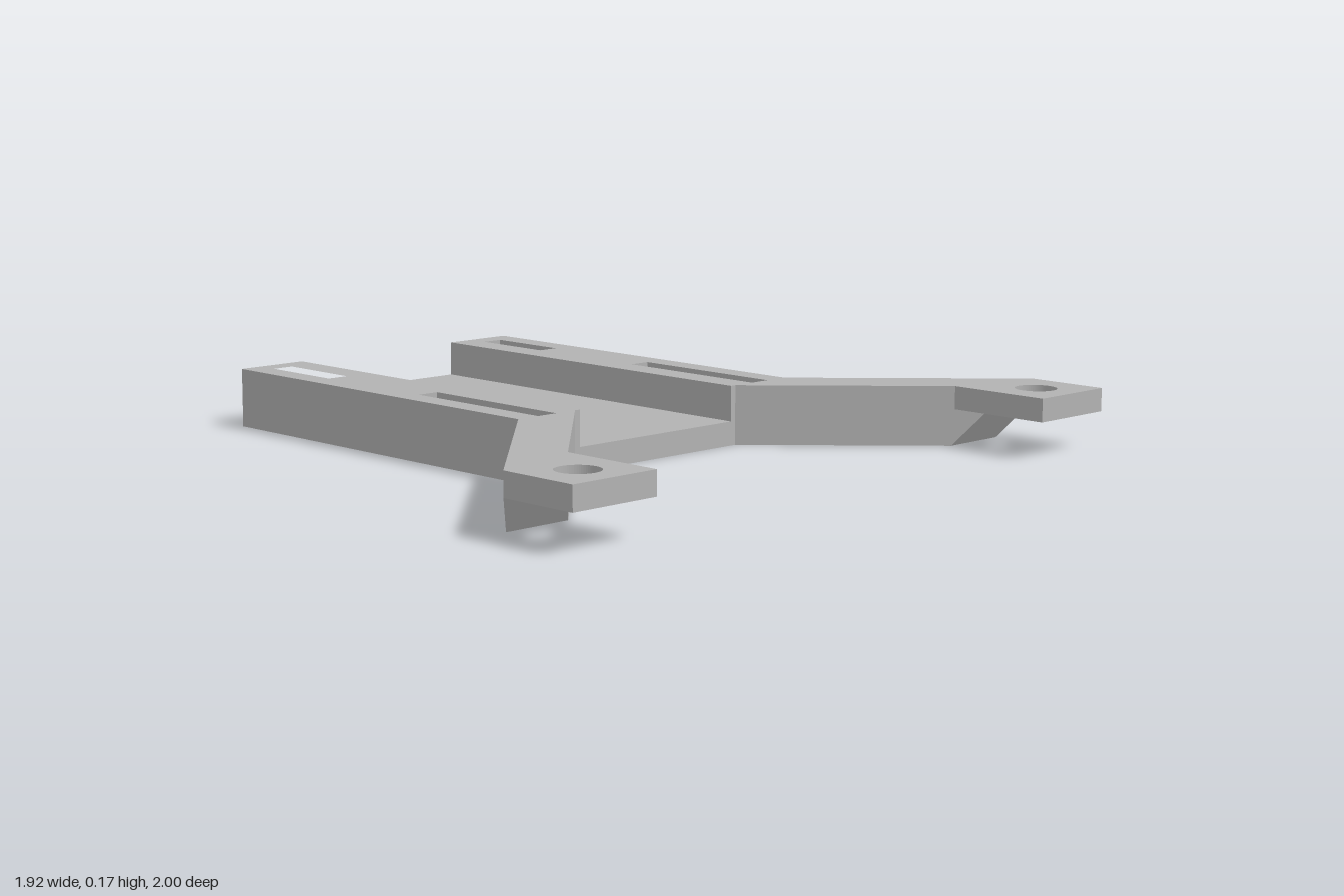
import * as THREE from 'three';

const H = 0.168;      // overall height
const TAB_Y = 0.103;  // underside of the mounting tabs
const X0 = -0.962, X1 = 0.23, X2 = 0.728, X3 = 0.962;

// Horizontal slab from an [x, z] outline, between heights y0 and y1
function slab(points, y0, y1, holes = []) {
  const shape = new THREE.Shape(points.map(([x, z]) => new THREE.Vector2(x, -z)));
  shape.holes.push(...holes);
  const geo = new THREE.ExtrudeGeometry(shape, { depth: y1 - y0, bevelEnabled: false, curveSegments: 32 });
  return geo.rotateX(-Math.PI / 2).translate(0, y0, 0);
}

export function createModel() {
  const group = new THREE.Group();
  const grey = new THREE.MeshStandardMaterial({ color: 0xb2b2b2 });
  grey.name = 'grey';
  const add = (name, geo) => {
    const mesh = new THREE.Mesh(geo, grey);
    mesh.name = name;
    group.add(mesh);
  };

  // Thin floor between the rails
  const floor = new THREE.BoxGeometry(X1 - X0, 0.068, 0.576);
  add('floor', floor.translate((X0 + X1) / 2, 0.034, 0));

  for (const s of [1, -1]) {
    const side = s > 0 ? 'Front' : 'Back';
    const mirror = (pts) => pts.map(([x, z]) => [x, s * z]);

    // Raised rail: one closed slot, and one slot running up to the arm
    const slot = new THREE.Path(
      mirror([[-0.9, 0.372], [-0.645, 0.372], [-0.645, 0.436], [-0.9, 0.436]])
        .map(([x, z]) => new THREE.Vector2(x, -z)));
    add('rail' + side, slab(mirror([
      [X0, 0.288], [X1, 0.288], [X1, 0.372], [-0.249, 0.372],
      [-0.249, 0.436], [X1, 0.436], [X1, 0.505], [X0, 0.505],
    ]), 0, H, [slot]));

    // Diagonal arm: side profile extruded across, then sheared outwards
    const profile = new THREE.Shape(
      [[X1, 0], [0.655, 0], [X2, TAB_Y], [X2, H], [X1, H]].map(([x, y]) => new THREE.Vector2(x, y)));
    const arm = new THREE.ExtrudeGeometry(profile, { depth: 0.2, bevelEnabled: false });
    arm.translate(0, 0, s > 0 ? 0.305 : -0.505);
    const p = arm.attributes.position;
    const slope = (1 - 0.505) / (X2 - X1);
    for (let i = 0; i < p.count; i++) p.setZ(i, p.getZ(i) + s * slope * (p.getX(i) - X1));
    arm.computeVertexNormals();
    add('arm' + side, arm);

    // Mounting tab with a round hole
    const hole = new THREE.Path().absarc(0.838, -s * 0.867, 0.058, 0, Math.PI * 2);
    add('tab' + side, slab(mirror([
      [0.66, 0.733], [X3, 0.733], [X3, 1], [X2, 1], [X2, 0.8],
    ]), TAB_Y, H, [hole]));
  }
  return group;
}
